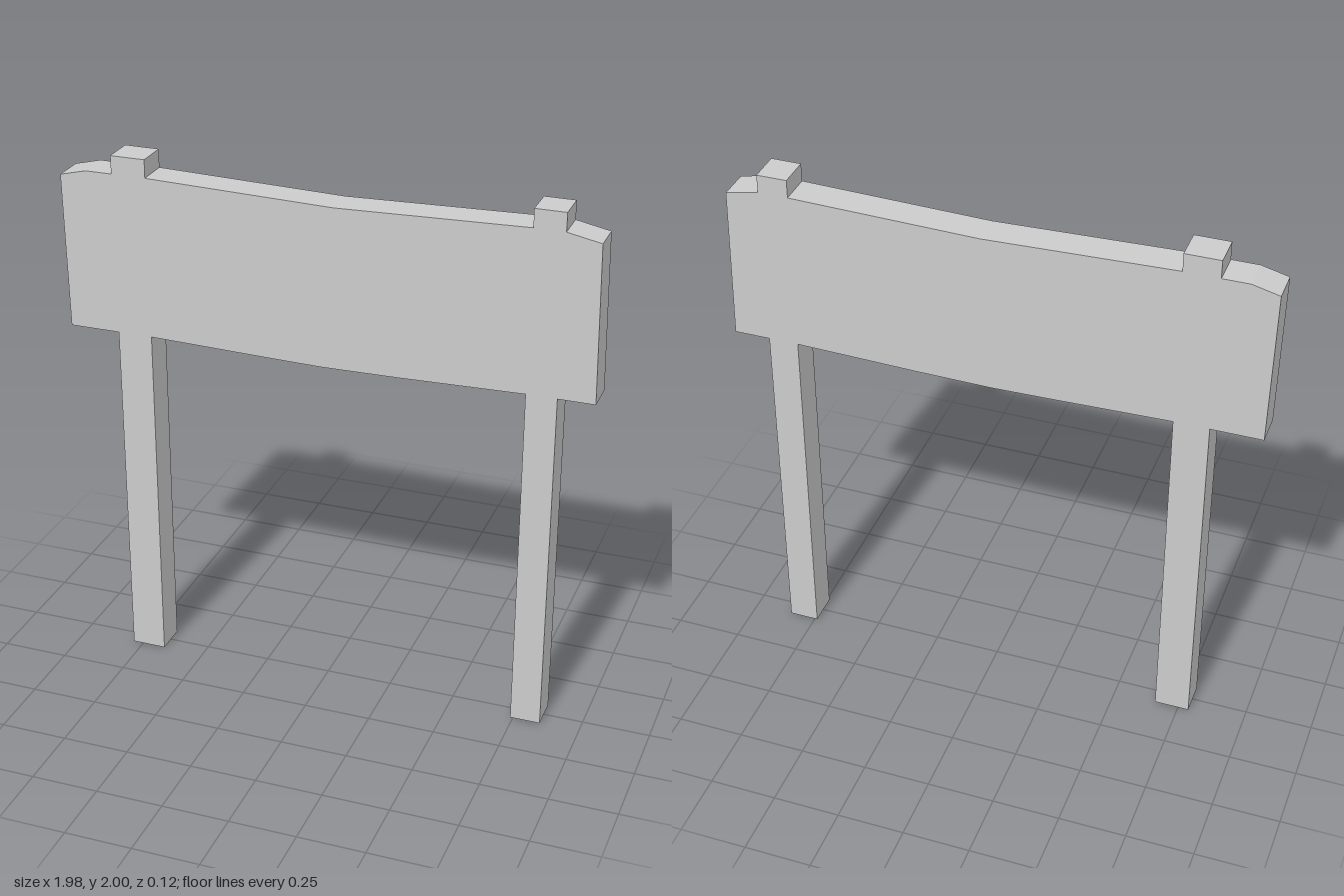
import * as THREE from 'three';

const DEPTH = 0.124;
const PANEL_BOTTOM = 1.326, PANEL_TOP = 1.932, POST_TOP = 2;

export function createModel() {
  const sign = new THREE.Group();
  sign.name = 'signboard';
  const material = new THREE.MeshStandardMaterial({ color: 0xcccccc, flatShading: true });
  const openMaterial = material.clone();
  openMaterial.side = THREE.DoubleSide;

  // Sagging board with clipped upper corners, flush with the posts
  const outline = [
    [-0.98, PANEL_BOTTOM], [-0.66, PANEL_BOTTOM], [-0.2, 1.314], [0, 1.31], [0.28, 1.314],
    [0.74, PANEL_BOTTOM], [0.986, PANEL_BOTTOM], [0.975, 1.907], [0.85, PANEL_TOP],
    [0.74, PANEL_TOP], [0.04, 1.912], [-0.66, PANEL_TOP], [-0.89, PANEL_TOP], [-0.99, 1.907],
  ];
  const shape = new THREE.Shape(outline.map(([x, y]) => new THREE.Vector2(x, y)));
  const panelGeometry = new THREE.ExtrudeGeometry(shape, { depth: DEPTH, bevelEnabled: false });
  panelGeometry.translate(0, 0, -DEPTH / 2);
  const panel = new THREE.Mesh(panelGeometry, material);
  panel.name = 'panel';
  sign.add(panel);

  // Box between two heights with chosen faces left out (2 = top, 3 = bottom)
  function postSection(name, x0, x1, y0, y1, openFaces) {
    const geometry = new THREE.BoxGeometry(x1 - x0, y1 - y0, DEPTH);
    const index = Array.from(geometry.index.array);
    geometry.setIndex(index.filter((_, i) => !openFaces.includes(Math.floor(i / 6))));
    geometry.translate((x0 + x1) / 2, (y0 + y1) / 2, 0);
    const mesh = new THREE.Mesh(geometry, openMaterial);
    mesh.name = name;
    return mesh;
  }

  // Posts: hollow leg open at the foot, and a stub rising above the board
  for (const [side, x0, x1] of [['right', -0.79, -0.66], ['left', 0.74, 0.852]]) {
    const post = new THREE.Group();
    post.name = side + 'Post';
    post.add(postSection(side + 'Leg', x0, x1, 0, PANEL_BOTTOM, [2, 3]));
    post.add(postSection(side + 'PostTop', x0, x1, PANEL_TOP, POST_TOP, [3]));
    sign.add(post);
  }
  return sign;
}
